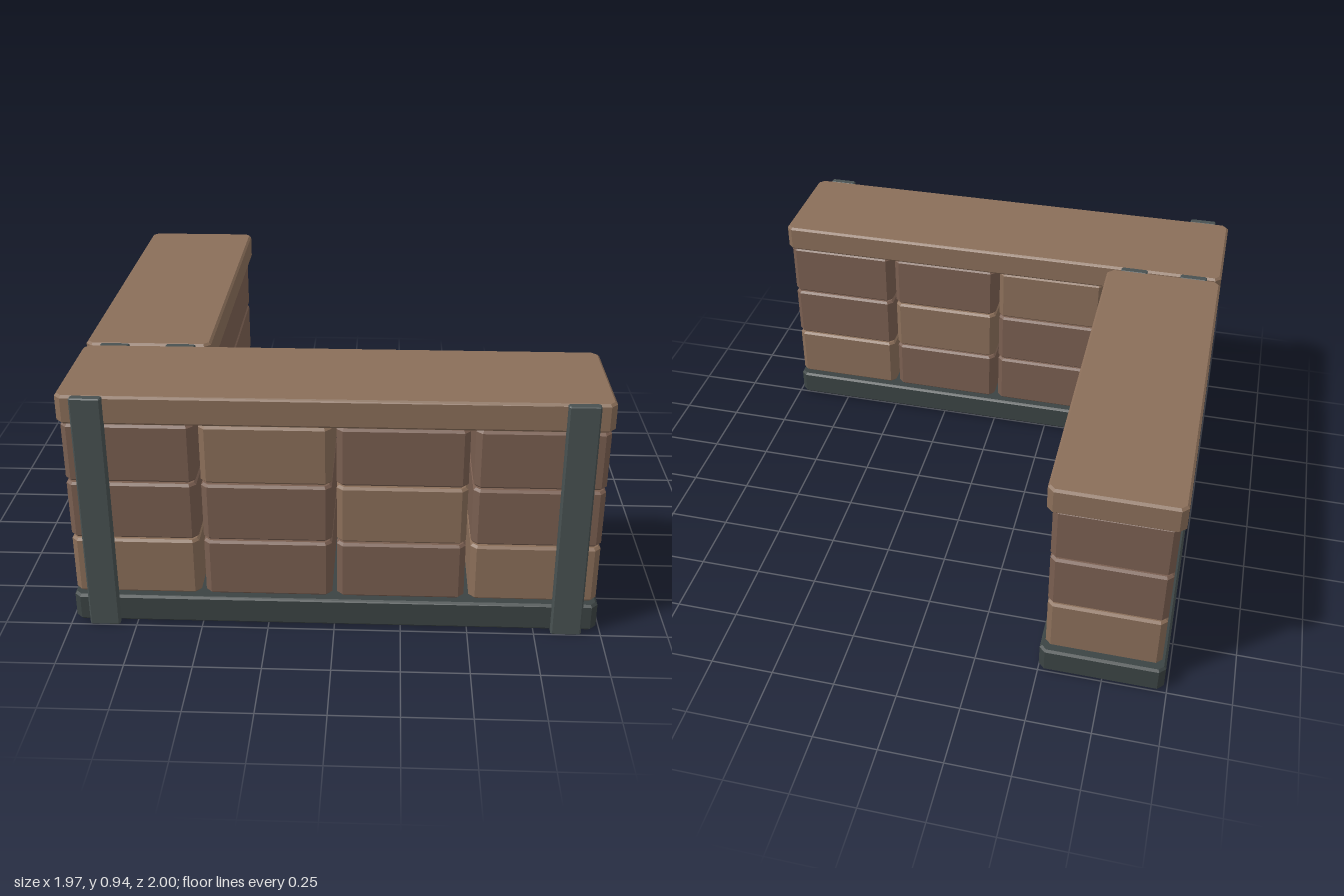
import * as THREE from 'three';

const mat = (color) => new THREE.MeshStandardMaterial({ color, flatShading: true });

// Box with chamfered upright corners and a small bevel around top and bottom
function chamferBox(name, material, [x0, x1], [y0, y1], [z0, z1], corner = 0.024, bevel = 0.009) {
  const w = (x1 - x0) / 2, d = (z1 - z0) / 2, c = corner;
  const plan = new THREE.Shape([
    [w - c, -d], [w, -d + c], [w, d - c], [w - c, d],
    [-w + c, d], [-w, d - c], [-w, -d + c], [-w + c, -d],
  ].map(([x, y]) => new THREE.Vector2(x, y)));
  const geometry = new THREE.ExtrudeGeometry(plan, {
    depth: y1 - y0 - 2 * bevel, bevelEnabled: true, bevelSegments: 1,
    bevelSize: bevel, bevelThickness: bevel, bevelOffset: -bevel,
  });
  geometry.translate(0, 0, bevel).rotateX(-Math.PI / 2);
  const mesh = new THREE.Mesh(geometry, material);
  mesh.name = name;
  mesh.position.set((x0 + x1) / 2, y0, (z0 + z1) / 2);
  return mesh;
}

export function createModel() {
  const model = new THREE.Group();
  model.name = 'cornerCounter';
  const light = mat(0x8a6e59), dark = mat(0x795e50);
  const baseMat = mat(0x3b4343), postMat = mat(0x485151);
  const rows = [[0.122, 0.35], [0.357, 0.585], [0.592, 0.82]];

  // One counter: base, rows of blocks (1 = light, 0 = dark), top slab and two posts
  function counter(name, xs, zs, blockXs, blockZs, pattern, postXs, postZs) {
    const group = new THREE.Group();
    group.name = name;
    group.add(chamferBox('base', baseMat, xs, [0.005, 0.115], zs));
    group.add(chamferBox('topSlab', light, xs, [0.83, 0.94], zs));
    rows.forEach((ys, r) => {
      const n = pattern[r].length, gap = 0.018;
      const width = (blockXs[1] - blockXs[0] - gap * (n - 1)) / n;
      pattern[r].forEach((isLight, i) => {
        const x = blockXs[0] + i * (width + gap);
        group.add(chamferBox('block', isLight ? light : dark, [x, x + width], ys, blockZs, 0.022));
      });
    });
    for (const x of postXs) {
      group.add(chamferBox('post', postMat, [x - 0.057, x + 0.057], [0, 0.94], postZs, 0.006, 0.004));
    }
    model.add(group);
  }

  counter('frontCounter', [-0.987, 0.987], [0.49, 0.977], [-0.98, 0.98], [0.512, 0.958],
    [[1, 0, 0, 1], [0, 0, 1, 0], [0, 1, 0, 0]], [-0.87, 0.87], [0.967, 1]);
  counter('sideCounter', [-0.987, -0.5], [-1, 0.478], [-0.968, -0.519], [-0.975, 0.465],
    [[1], [0], [0]], [-0.87, -0.615], [0.47, 0.503]);

  return model;
}
